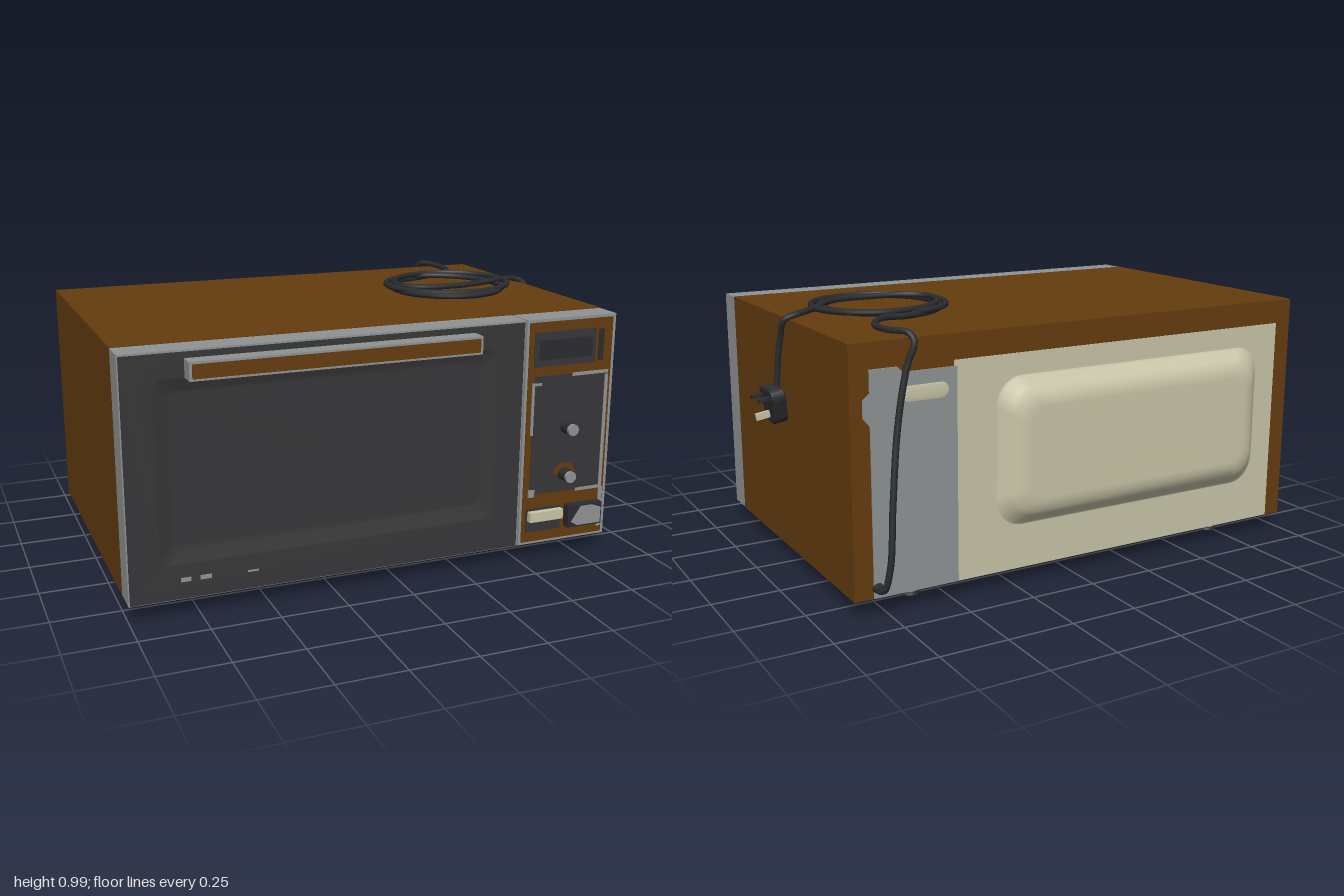
import * as THREE from 'three';

const mat = (name, color, side = THREE.FrontSide) => {
  const m = new THREE.MeshStandardMaterial({ color, side });
  m.name = name;
  return m;
};

export function createModel() {
  const brown = mat('brown', 0x643c0e);
  const grey = mat('grey', 0x909394);
  const dark = mat('charcoal', 0x373739, THREE.DoubleSide);
  const black = mat('black', 0x2b2c2f);
  const cream = mat('cream', 0xc9c5a8, THREE.DoubleSide);

  const root = new THREE.Group();
  root.name = 'microwaveOven';
  const add = (name, geo, material, x = 0, y = 0, z = 0, parent = root) => {
    const m = new THREE.Mesh(geo, material);
    m.name = name;
    m.position.set(x, y, z);
    parent.add(m);
    return m;
  };
  // box given by its limits
  const box = (name, material, x0, x1, y0, y1, z0, z1) =>
    add(name, new THREE.BoxGeometry(x1 - x0, y1 - y0, z1 - z0), material,
      (x0 + x1) / 2, (y0 + y1) / 2, (z0 + z1) / 2);

  // sheet facing +z, lofted through rounded rectangles [cx, cy, w, h, r, z]
  const loft = (rings, steps = 7) => {
    const pos = [], idx = [], n = 4 * (steps + 1);
    for (const [cx, cy, w, h, r, z] of rings) {
      for (let c = 0; c < 4; c++) {
        const sx = c === 0 || c === 3 ? 1 : -1, sy = c < 2 ? 1 : -1;
        for (let k = 0; k <= steps; k++) {
          const a = (c + k / steps) * Math.PI / 2;
          pos.push(cx + sx * (w / 2 - r) + r * Math.cos(a), cy + sy * (h / 2 - r) + r * Math.sin(a), z);
        }
      }
    }
    for (let i = 0; i < rings.length - 1; i++)
      for (let j = 0; j < n; j++) {
        const a = i * n + j, b = i * n + (j + 1) % n;
        idx.push(a, b, b + n, a, b + n, a + n);
      }
    const last = rings[rings.length - 1], o = (rings.length - 1) * n;
    pos.push(last[0], last[1], last[5]);
    for (let j = 0; j < n; j++) idx.push(o + j, o + (j + 1) % n, rings.length * n);
    const g = new THREE.BufferGeometry();
    g.setAttribute('position', new THREE.Float32BufferAttribute(pos, 3));
    g.setIndex(idx);
    g.computeVertexNormals();
    return g;
  };

  // cabinet
  box('cabinet', brown, -1, 0.87, 0.062, 0.94, -0.62, 0.515);

  // door: core, rim and a dark front sheet with a shallow window recess
  box('doorCore', grey, -1, 0.487, 0.065, 0.938, 0.515, 0.6);
  const rim = new THREE.Shape();
  rim.moveTo(-1, 0.065).lineTo(0.487, 0.065).lineTo(0.487, 0.938).lineTo(-1, 0.938).closePath();
  const opening = new THREE.Path();
  opening.moveTo(-0.93, 0.15).lineTo(-0.93, 0.88).lineTo(0.42, 0.88).lineTo(0.42, 0.15).closePath();
  rim.holes.push(opening);
  add('doorRim', new THREE.ExtrudeGeometry(rim, { depth: 0.022, bevelEnabled: false }), grey, 0, 0, 0.6);
  const cx = -0.257;
  add('doorFront', loft([
    [cx, 0.5, 1.478, 0.864, 0.002, 0.625], [cx, 0.52, 1.27, 0.66, 0.04, 0.625],
    [cx, 0.52, 1.25, 0.64, 0.04, 0.623], [cx, 0.525, 1.17, 0.56, 0.03, 0.612],
    [cx, 0.525, 1.14, 0.53, 0.02, 0.611],
  ]), dark);
  [[-0.8, 0.035], [-0.73, 0.04], [-0.56, 0.04]].forEach(([x, w], i) =>
    box('doorMark' + i, grey, x - w / 2, x + w / 2, 0.13, i < 2 ? 0.145 : 0.136, 0.624, 0.628));

  // handle
  box('handle', grey, -0.78, 0.28, 0.845, 0.91, 0.62, 0.687);
  box('handleInlay', brown, -0.77, 0.27, 0.853, 0.902, 0.686, 0.69);

  // control panel
  box('panelHousing', grey, 0.493, 0.87, 0.065, 0.938, 0.515, 0.622);
  box('panelFace', brown, 0.504, 0.857, 0.075, 0.927, 0.62, 0.625);
  box('display', dark, 0.525, 0.785, 0.76, 0.89, 0.622, 0.628);
  box('displayWindow', black, 0.545, 0.77, 0.785, 0.86, 0.626, 0.63);
  box('displaySlot', black, 0.798, 0.82, 0.765, 0.885, 0.622, 0.628);
  box('dialPlate', dark, 0.53, 0.835, 0.265, 0.725, 0.622, 0.628);
  const trims = [
    [0.522, 0.532, 0.5, 0.7], [0.53, 0.56, 0.69, 0.7], [0.69, 0.845, 0.715, 0.727],
    [0.832, 0.846, 0.26, 0.71], [0.525, 0.55, 0.255, 0.285], [0.73, 0.84, 0.258, 0.27],
    [0.835, 0.852, 0.1, 0.26],
  ];
  trims.forEach(([a, b, c, d], i) => box('plateTrim' + i, grey, a, b, c, d, 0.624, 0.63));
  add('dialArc', new THREE.RingGeometry(0.026, 0.046, 24, 1, 0, Math.PI), brown, 0.675, 0.335, 0.63);

  // dials
  for (const y of [0.52, 0.335]) {
    const dial = new THREE.Group();
    dial.name = 'dial';
    dial.position.set(0.675, y, 0.625);
    dial.rotation.x = Math.PI / 2;
    root.add(dial);
    add('dialBody', new THREE.CylinderGeometry(0.023, 0.025, 0.044, 20), black, 0, 0.022, 0, dial);
    add('dialCap', new THREE.CylinderGeometry(0.022, 0.022, 0.014, 20), grey, 0, 0.05, 0, dial);
  }

  // push buttons
  box('buttonRecess', dark, 0.52, 0.67, 0.115, 0.21, 0.622, 0.629);
  box('creamButton', cream, 0.525, 0.667, 0.162, 0.2, 0.62, 0.652);
  box('openButton', black, 0.687, 0.835, 0.122, 0.21, 0.62, 0.657);
  const facet = new THREE.Shape();
  facet.moveTo(0.7, 0.145).lineTo(0.73, 0.128).lineTo(0.83, 0.128).lineTo(0.83, 0.19)
    .lineTo(0.79, 0.205).lineTo(0.74, 0.205).closePath();
  add('openButtonFacet', new THREE.ShapeGeometry(facet), grey, 0, 0, 0.659);

  // rear panel with its raised pan, facing -z
  const pan = add('rearPan', loft([
    [0.255, 0.5, 1.17, 0.55, 0.1, 0.622], [0.255, 0.5, 1.15, 0.53, 0.1, 0.625],
    [0.255, 0.5, 1.09, 0.47, 0.09, 0.655], [0.255, 0.5, 1.05, 0.43, 0.08, 0.672],
    [0.255, 0.5, 0.99, 0.37, 0.07, 0.68], [0.255, 0.5, 0.95, 0.33, 0.06, 0.681],
  ]), cream);
  pan.rotation.y = Math.PI;
  box('rearPlate', cream, -0.93, 0.49, 0.064, 0.85, -0.623, -0.618);
  const strip = new THREE.Shape();
  strip.moveTo(0.48, 0.064).lineTo(0.8, 0.064).lineTo(0.8, 0.66).lineTo(0.825, 0.69)
    .lineTo(0.825, 0.75).lineTo(0.8, 0.77).lineTo(0.8, 0.85).lineTo(0.7, 0.85)
    .lineTo(0.68, 0.83).lineTo(0.48, 0.83).closePath();
  add('rearStrip', new THREE.ExtrudeGeometry(strip, { depth: 0.006, bevelEnabled: false }), grey, 0, 0, -0.625);
  const slot = new THREE.CapsuleGeometry(0.03, 0.12, 4, 12);
  slot.rotateZ(Math.PI / 2).scale(1, 1, 0.12);
  add('rearSlot', slot, cream, 0.6, 0.755, -0.624);

  // feet
  for (const x of [-0.74, 0.605]) for (const z of [0.44, -0.49]) {
    add('footStem', new THREE.CylinderGeometry(0.026, 0.026, 0.06, 20), grey, x, 0.038, z);
    add('footPad', new THREE.CylinderGeometry(0.029, 0.034, 0.01, 20), black, x, 0.005, z);
  }

  // power cord: up the back, coiled on top, over the side to the plug
  const path = [
    [0.785, 0.1, -0.62], [0.78, 0.1, -0.66], [0.765, 0.19, -0.682], [0.745, 0.4, -0.668],
    [0.71, 0.65, -0.64], [0.67, 0.85, -0.635], [0.645, 0.93, -0.642], [0.655, 0.957, -0.62],
    [0.69, 0.957, -0.54], [0.685, 0.955, -0.42], [0.61, 0.958, -0.325],
  ];
  for (let deg = 95; deg <= 900; deg += 35) {
    const t = (deg - 95) / 805, a = deg * Math.PI / 180;
    const r = 0.232 + 0.012 * Math.sin(a * 0.6);
    path.push([0.5 + 0.022 * Math.cos(t * 7) + r * Math.cos(a), 0.952 + 0.02 * t, -0.055 + 0.015 * Math.sin(t * 8) - r * Math.sin(a)]);
  }
  path.push([0.34, 0.973, 0.03], [0.5, 0.973, 0.052], [0.66, 0.975, 0.02], [0.76, 0.965, -0.06],
    [0.84, 0.957, -0.1], [0.885, 0.94, -0.095], [0.893, 0.87, -0.065], [0.9, 0.77, -0.046], [0.905, 0.68, -0.043]);
  const curve = new THREE.CatmullRomCurve3(path.map(p => new THREE.Vector3(...p)));
  add('powerCord', new THREE.TubeGeometry(curve, 360, 0.0115, 8), black);
  const grommet = add('cordGrommet', new THREE.CylinderGeometry(0.016, 0.02, 0.03, 16), black, 0.785, 0.1, -0.632);
  grommet.rotation.x = -Math.PI / 2;

  // plug: outline in its own xy, then turned to face +x
  const plug = new THREE.Group();
  plug.name = 'plug';
  plug.position.set(0.92, 0.628, -0.042);
  plug.rotation.set(0, Math.PI / 2, -0.16, 'ZYX');
  root.add(plug);
  const outline = new THREE.Shape();
  outline.moveTo(-0.045, 0.066).lineTo(0.045, 0.066).quadraticCurveTo(0.072, 0.06, 0.07, 0.025)
    .lineTo(0.05, -0.045).quadraticCurveTo(0.04, -0.07, 0, -0.07)
    .quadraticCurveTo(-0.04, -0.07, -0.05, -0.045).lineTo(-0.07, 0.025)
    .quadraticCurveTo(-0.072, 0.06, -0.045, 0.066);
  add('plugBody', new THREE.ExtrudeGeometry(outline, {
    depth: 0.04, bevelSize: 0.006, bevelThickness: 0.006, bevelOffset: -0.006, bevelSegments: 2, curveSegments: 6,
  }), black, 0, 0, -0.024, plug);
  for (const x of [-0.037, 0.037])
    add('flatPin', new THREE.BoxGeometry(0.022, 0.012, 0.045), black, x, 0.036, 0.042, plug);
  add('earthPin', new THREE.BoxGeometry(0.013, 0.025, 0.055), cream, 0, -0.03, 0.046, plug);

  return root;
}
